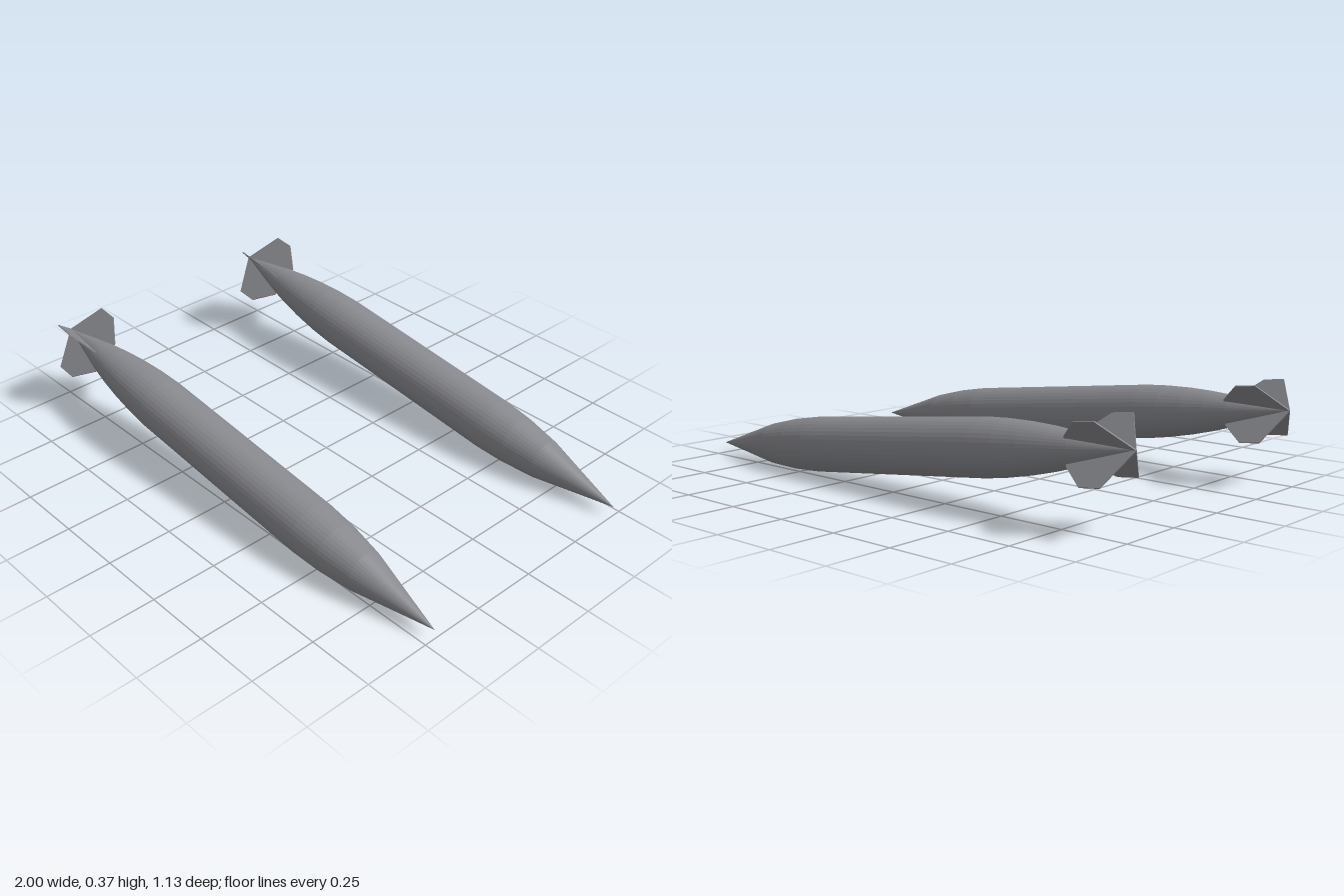
import * as THREE from 'three';

const GREY = 0x88898e;
const bodyMat = new THREE.MeshStandardMaterial({ color: GREY, flatShading: true });
const finMat = new THREE.MeshStandardMaterial({ color: GREY, side: THREE.DoubleSide });

// Body outline: [position along the axis, radius], tail to nose
const PROFILE = [
  [-1.007, 0], [-0.89, 0.03], [-0.78, 0.057], [-0.69, 0.074], [-0.6, 0.087], [-0.5, 0.097], [-0.405, 0.102],
  [0.43, 0.102], [0.55, 0.095], [0.685, 0.077], [0.84, 0.04], [1.009, 0],
];

// Fin outline: [position along the axis, distance from the axis]
const FIN = [[-1.007, 0], [-0.935, 0.142], [-0.855, 0.142], [-0.77, 0.066], [-0.77, 0.03]];
const FIN_THICKNESS = 0.004;

function createBomb() {
  const bomb = new THREE.Group();

  // Spindle-shaped body, turned so its axis lies along x
  const points = PROFILE.map(([s, r]) => new THREE.Vector2(r, s));
  const body = new THREE.Mesh(new THREE.LatheGeometry(points, 40), bodyMat);
  body.name = 'body';
  body.rotation.z = -Math.PI / 2;
  bomb.add(body);

  // Four thin tail fins on the diagonals
  const shape = new THREE.Shape(FIN.map(([s, r]) => new THREE.Vector2(s, r)));
  const finGeo = new THREE.ExtrudeGeometry(shape, { depth: FIN_THICKNESS, bevelEnabled: false });
  finGeo.translate(0, 0, -FIN_THICKNESS / 2);
  for (let i = 0; i < 4; i++) {
    const fin = new THREE.Mesh(finGeo, finMat);
    fin.name = 'tailFin' + (i + 1);
    fin.rotation.x = Math.PI / 4 + (i * Math.PI) / 2;
    bomb.add(fin);
  }
  return bomb;
}

export function createModel() {
  const model = new THREE.Group();
  model.name = 'bombPair';

  // Two parallel bombs, pitched slightly nose down
  for (const side of [-1, 1]) {
    const bomb = createBomb();
    bomb.name = side > 0 ? 'frontBomb' : 'rearBomb';
    bomb.position.set(0, 0.16, side * 0.461);
    bomb.rotation.z = -Math.atan(0.12);
    model.add(bomb);
  }
  return model;
}
